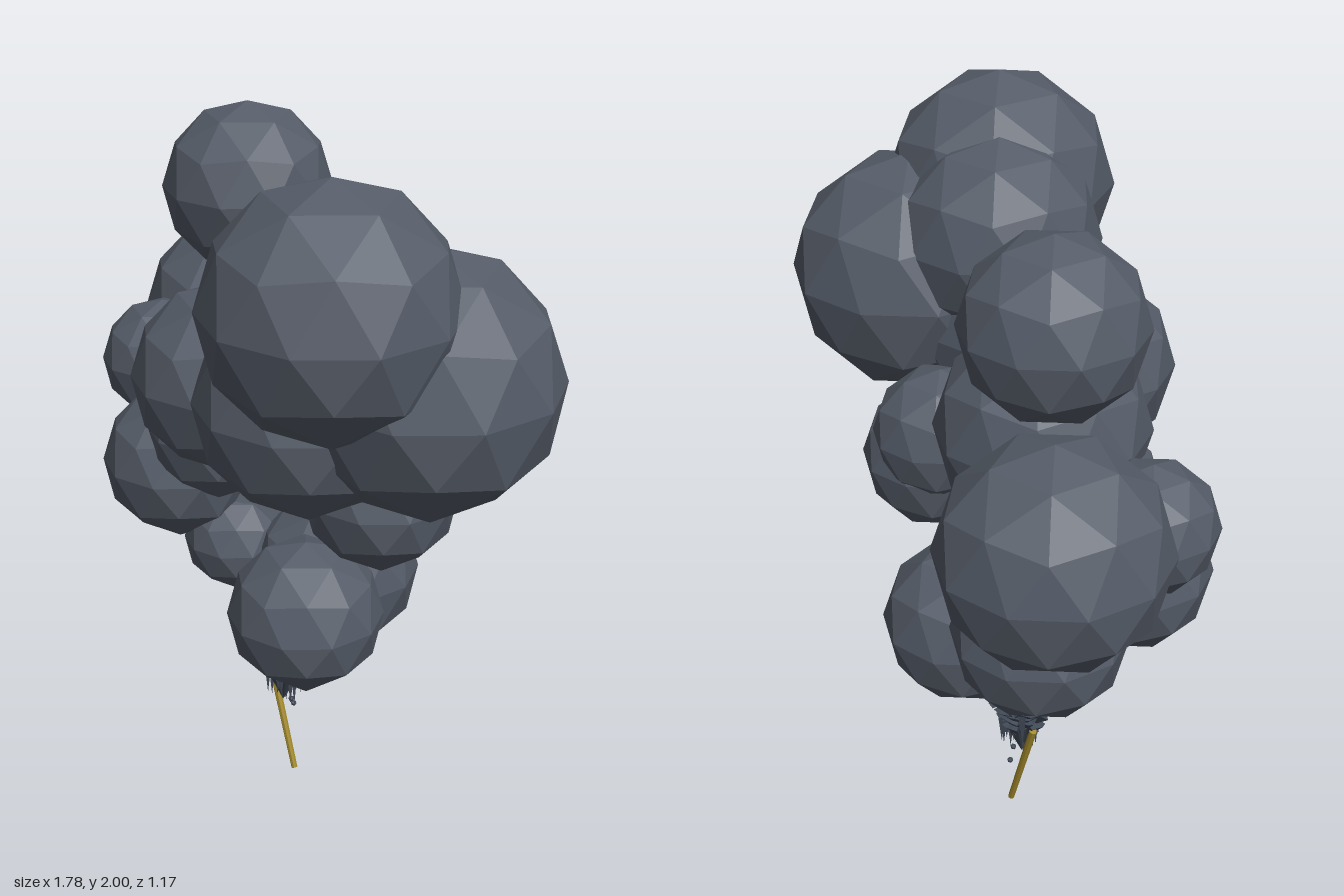
import * as THREE from 'three';

function material(name, color, extra = {}) {
  const m = new THREE.MeshStandardMaterial({ color, flatShading: true, ...extra });
  m.name = name;
  return m;
}

// Repeatable noise in 0..1
function hash(a, b) {
  const v = Math.sin(a * 127.1 + b * 311.7) * 43758.5453;
  return v - Math.floor(v);
}

export function createModel() {
  const smoke = material('smoke grey', 0x565d69);
  const debris = material('dark slate', 0x424b58);
  const brass = material('old gold', 0xa38a2c);
  const model = new THREE.Group();
  model.name = 'smokePlume';

  const add = (parent, name, geometry, mat, x = 0, y = 0, z = 0) => {
    const mesh = new THREE.Mesh(geometry, mat);
    mesh.name = name;
    mesh.position.set(x, y, z);
    parent.add(mesh);
    return mesh;
  };

  // Smoke puffs: one faceted ball, standing on a five-sided pole
  const ball = new THREE.IcosahedronGeometry(1, 1);
  ball.rotateX(-Math.atan((1 + Math.sqrt(5)) / 2));
  ball.rotateY(Math.PI / 2);
  const puffs = [ // x, y, z, radius
    [0.52, 1.68, 0.26, 0.32],
    [0.57, 1.46, 0.0, 0.34],
    [0.33, 1.37, 0.18, 0.29],
    [0.33, 1.61, 0.14, 0.28],
    [0.01, 1.345, 0.2, 0.25],
    [-0.12, 1.27, -0.01, 0.29],
    [-0.61, 1.24, -0.295, 0.295],
    [-0.38, 1.7, -0.15, 0.237],
    [-0.555, 1.18, 0.03, 0.175],
    [-0.38, 0.94, 0.095, 0.22],
    [-0.22, 1.09, 0.07, 0.2],
    [-0.18, 0.98, -0.18, 0.17],
    [-0.33, 0.8, -0.15, 0.24],
    [-0.24, 0.72, 0.0, 0.15],
    [0.28, 1.03, -0.1, 0.21],
    [0.22, 1.13, -0.12, 0.19],
    [-0.01, 0.665, -0.18, 0.237],
    [0.14, 0.65, 0.04, 0.215],
  ];
  const cloud = new THREE.Group();
  cloud.name = 'smokeCloud';
  model.add(cloud);
  puffs.forEach(([x, y, z, r], i) => {
    add(cloud, `puff${i + 1}`, ball, smoke, x, y, z).scale.setScalar(r);
  });

  // Ragged cup: stacked downward cones with torn rims
  const cup = new THREE.Group();
  cup.name = 'raggedCup';
  model.add(cup);
  const profile = [ // rim height, rim radius
    [0.55, 0.09], [0.53, 0.1], [0.51, 0.115], [0.485, 0.15], [0.465, 0.155],
    [0.445, 0.14], [0.425, 0.125], [0.405, 0.115], [0.385, 0.1],
    [0.365, 0.088], [0.345, 0.078], [0.325, 0.066], [0.305, 0.055],
  ];
  profile.forEach(([y, r], layer) => {
    const h = 0.09;
    const geo = new THREE.ConeGeometry(r, h, 26).rotateX(Math.PI);
    const p = geo.attributes.position;
    for (let i = 0; i < p.count; i++) {
      const radius = Math.hypot(p.getX(i), p.getZ(i));
      if (radius < r * 0.5) continue;
      const step = (Math.round(Math.atan2(p.getZ(i), p.getX(i)) / (Math.PI * 2) * 26) + 26) % 26;
      const k = 0.8 + 0.25 * hash(step, layer);
      p.setXYZ(i, p.getX(i) * k, p.getY(i) + (hash(layer, step) - 0.5) * 0.03, p.getZ(i) * k);
    }
    geo.computeVertexNormals();
    const ring = add(cup, 'tornRing', geo, debris, -0.105, y - h / 2, -0.065);
    ring.scale.z = 0.82;
  });

  // Shards hanging below the cup
  for (let i = 0; i < 16; i++) {
    const a = i * 2.4;
    const r = 0.025 + 0.055 * hash(i, 3);
    const len = 0.1 + 0.06 * hash(i, 7);
    const top = 0.34 + r * 0.9;
    const shard = new THREE.ConeGeometry(0.018, len, 4).rotateX(Math.PI);
    add(cup, 'shard', shard, debris,
      -0.095 + Math.cos(a) * r, top - len / 2, -0.065 + Math.sin(a) * r * 0.85);
  }
  add(cup, 'tipShard', new THREE.ConeGeometry(0.025, 0.14, 5).rotateX(Math.PI), debris, -0.09, 0.29, -0.065);

  // Loose crumbs under the cup
  [[-0.085, 0.22, -0.08], [-0.1, 0.19, -0.1]].forEach(([x, y, z]) =>
    add(cup, 'crumb', new THREE.IcosahedronGeometry(0.009, 0), debris, x, y, z));

  // Slanted stick
  const foot = new THREE.Vector3(-0.05, 0.004, -0.066);
  const tip = new THREE.Vector3(-0.168, 0.325, -0.066);
  const dir = tip.clone().sub(foot);
  const stick = add(model, 'stick', new THREE.CylinderGeometry(0.011, 0.009, dir.length(), 8), brass);
  stick.position.copy(foot).add(tip).multiplyScalar(0.5);
  stick.quaternion.setFromUnitVectors(new THREE.Vector3(0, 1, 0), dir.normalize());

  return model;
}
